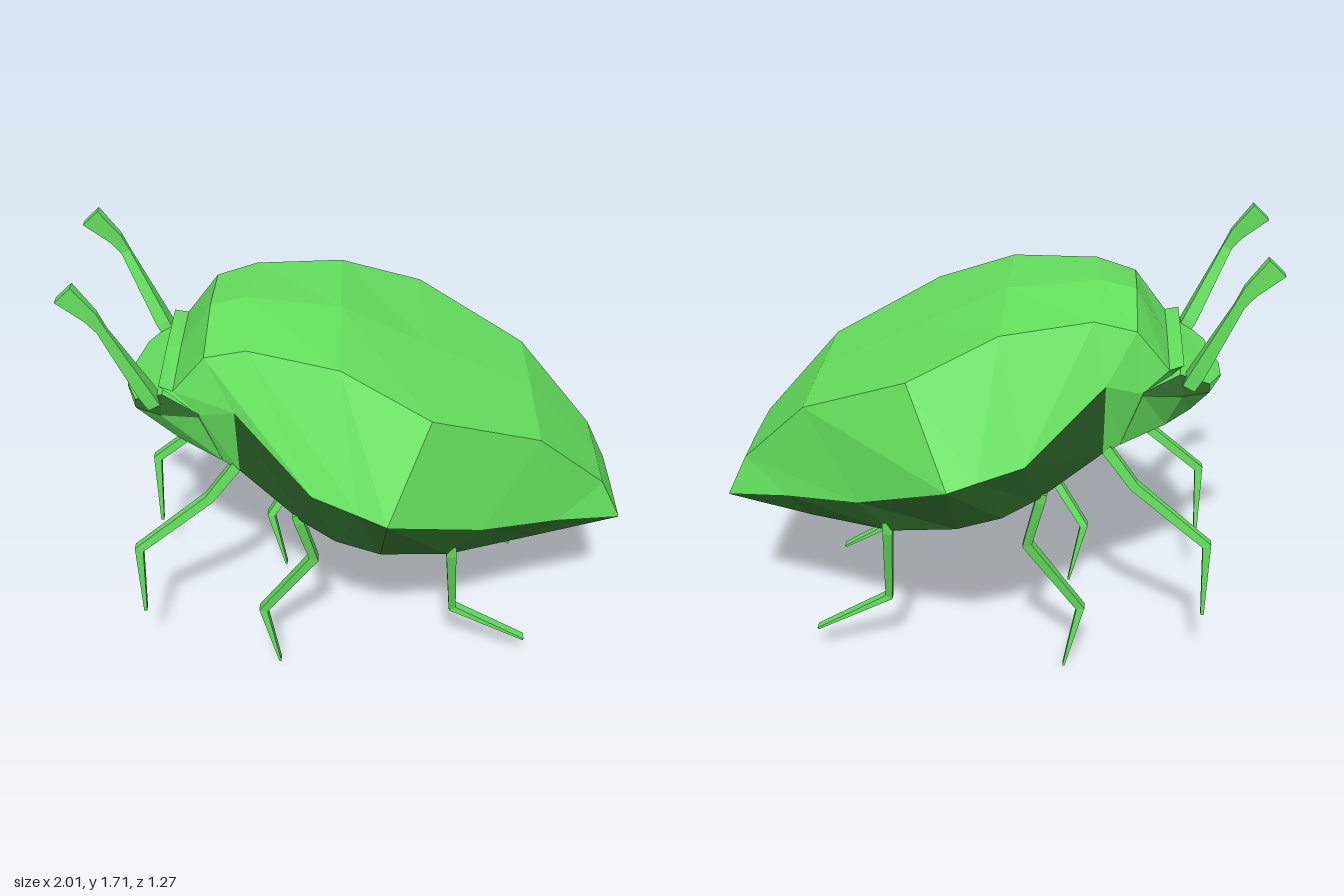
import * as THREE from 'three';

function makeMaterial(name, color) {
  const material = new THREE.MeshStandardMaterial({ color, flatShading: true });
  material.name = name;
  return material;
}
const green = makeMaterial('shell green', 0x67e660);
const darkGreen = makeMaterial('underside dark green', 0x2c6529);

// Closed skin through equal-length rings of [x, y, z] points, capped at both ends.
// isDark(i, j) picks the faces between rings i and i + 1, points j and j + 1, that are dark.
function loft(name, rings, isDark = () => false) {
  const n = rings[0].length;
  const light = [], dark = [];
  for (let i = 0; i < rings.length - 1; i++) {
    for (let j = 0; j < n; j++) {
      const k = (j + 1) % n;
      const a = rings[i][j], b = rings[i][k], c = rings[i + 1][k], d = rings[i + 1][j];
      (isDark(i, j) ? dark : light).push([a, b, c], [a, c, d]);
    }
  }
  const first = rings[0], last = rings[rings.length - 1];
  for (let j = 1; j < n - 1; j++) {
    light.push([first[0], first[j + 1], first[j]], [last[0], last[j], last[j + 1]]);
  }
  // Turn the skin outward if its signed volume is negative
  const tris = [...light, ...dark];
  let volume = 0;
  for (const t of tris) {
    const [a, b, c] = t.map((p) => new THREE.Vector3(...p));
    volume += a.dot(b.cross(c));
  }
  if (volume < 0) tris.forEach((t) => t.reverse());
  const geometry = new THREE.BufferGeometry();
  geometry.setAttribute('position', new THREE.Float32BufferAttribute(tris.flat(2), 3));
  geometry.computeVertexNormals();
  geometry.addGroup(0, light.length * 3, 0);
  geometry.addGroup(light.length * 3, dark.length * 3, 1);
  const mesh = new THREE.Mesh(geometry, [green, darkGreen]);
  mesh.name = name;
  return mesh;
}

// Full ring from a half section: centre top, top edge, side edge, lower edge.
function mirrorSection([ridge, ...half]) {
  const low = half[half.length - 1];
  const mirrored = half.map(([x, y, z]) => [x, y, -z]).reverse();
  return [[...ridge, 0], ...half, [low[0], low[1], 0], ...mirrored];
}

// Four-sided limb through joints [x, y, z, half width, half depth].
function limb(name, joints, side) {
  const rings = joints.map(([x, y, z, w, d], i) => {
    const a = joints[Math.max(i - 1, 0)], b = joints[Math.min(i + 1, joints.length - 1)];
    const length = Math.hypot(b[0] - a[0], b[1] - a[1]);
    const nx = (-(b[1] - a[1]) / length) * w, ny = ((b[0] - a[0]) / length) * w;
    return [
      [x + nx, y + ny, side * z + d], [x - nx, y - ny, side * z + d],
      [x - nx, y - ny, side * z - d], [x + nx, y + ny, side * z - d],
    ];
  });
  return loft(name, rings);
}

export function createModel() {
  const model = new THREE.Group();
  model.name = 'beetle';

  // Body: shell above the side edge, dark underside below it behind the neck
  const body = [
    [[-0.7, 1.3], [-0.7, 1.295, 0.27], [-0.66, 1.25, 0.25], [-0.62, 1.05, 0.18]],
    [[-0.65, 1.29], [-0.65, 1.28, 0.28], [-0.56, 1.2, 0.313], [-0.5, 0.98, 0.27]],
    [[-0.53, 1.47], [-0.53, 1.43, 0.3], [-0.43, 1.25, 0.37], [-0.43, 0.95, 0.3]],
    [[-0.4, 1.5], [-0.38, 1.47, 0.32], [-0.16, 1.01, 0.54], [-0.2, 0.83, 0.45]],
    [[-0.06, 1.46], [-0.06, 1.44, 0.4], [0, 0.973, 0.597], [-0.08, 0.78, 0.5]],
    [[0.25, 1.31], [0.25, 1.3, 0.5], [0.1, 0.95, 0.635], [0.08, 0.745, 0.53]],
    [[0.65, 1.115], [0.65, 1.11, 0.34], [0.45, 0.78, 0.435], [0.33, 0.67, 0.44]],
    [[0.92, 0.825], [0.92, 0.82, 0.2], [0.75, 0.71, 0.29], [0.66, 0.625, 0.28]],
    [[1, 0.655], [1, 0.652, 0.19], [1, 0.648, 0.19], [1, 0.645, 0.19]],
  ];
  model.add(loft('body', body.map(mirrorSection), (i, j) =>
    j === 3 || j === 4 || (i >= 2 && (j === 2 || j === 5))));

  // Head: dark wedge between the top edge and the rim, dark belly
  const head = [
    [[-0.85, 1.165], [-0.85, 1.165, 0.05], [-0.85, 1.155, 0.05], [-0.845, 1.15, 0.05]],
    [[-0.8, 1.195], [-0.8, 1.195, 0.2], [-0.8, 1.167, 0.21], [-0.74, 1.06, 0.14]],
    [[-0.69, 1.265], [-0.69, 1.26, 0.27], [-0.7, 1.18, 0.282], [-0.65, 1.03, 0.21]],
    [[-0.56, 1.21], [-0.56, 1.205, 0.315], [-0.56, 1.195, 0.318], [-0.49, 0.975, 0.275]],
  ];
  model.add(loft('head', head.map(mirrorSection), (i, j) =>
    j === 3 || j === 4 || (i >= 1 && (j === 1 || j === 6))));

  // Legs and antennae, one set on each side
  const limbs = {
    frontLeg: [
      [-0.44, 0.965, 0.28, 0.02, 0.017], [-0.55, 0.815, 0.285, 0.018, 0.017],
      [-0.83, 0.58, 0.295, 0.017, 0.016], [-0.836, 0.26, 0.285, 0.006, 0.012],
    ],
    middleLeg: [
      [-0.218, 0.85, 0.425, 0.02, 0.018], [-0.212, 0.81, 0.42, 0.018, 0.018],
      [-0.165, 0.59, 0.36, 0.018, 0.02], [-0.37, 0.275, 0.3, 0.016, 0.018],
      [-0.312, 0, 0.3, 0.004, 0.016],
    ],
    rearLeg: [
      [0.342, 0.7, 0.425, 0.02, 0.018], [0.345, 0.65, 0.42, 0.018, 0.018],
      [0.37, 0.29, 0.305, 0.015, 0.018], [0.66, 0.12, 0.3, 0.004, 0.018],
    ],
    antenna: [
      [-0.72, 1.21, 0.25, 0.024, 0.03], [-0.745, 1.26, 0.255, 0.026, 0.03],
      [-0.868, 1.535, 0.292, 0.018, 0.008], [-0.9, 1.59, 0.292, 0.026, 0.012],
      [-0.982, 1.678, 0.29, 0.04, 0.02],
    ],
  };
  for (const [name, joints] of Object.entries(limbs)) {
    model.add(limb(`${name}Front`, joints, 1), limb(`${name}Back`, joints, -1));
  }
  return model;
}
